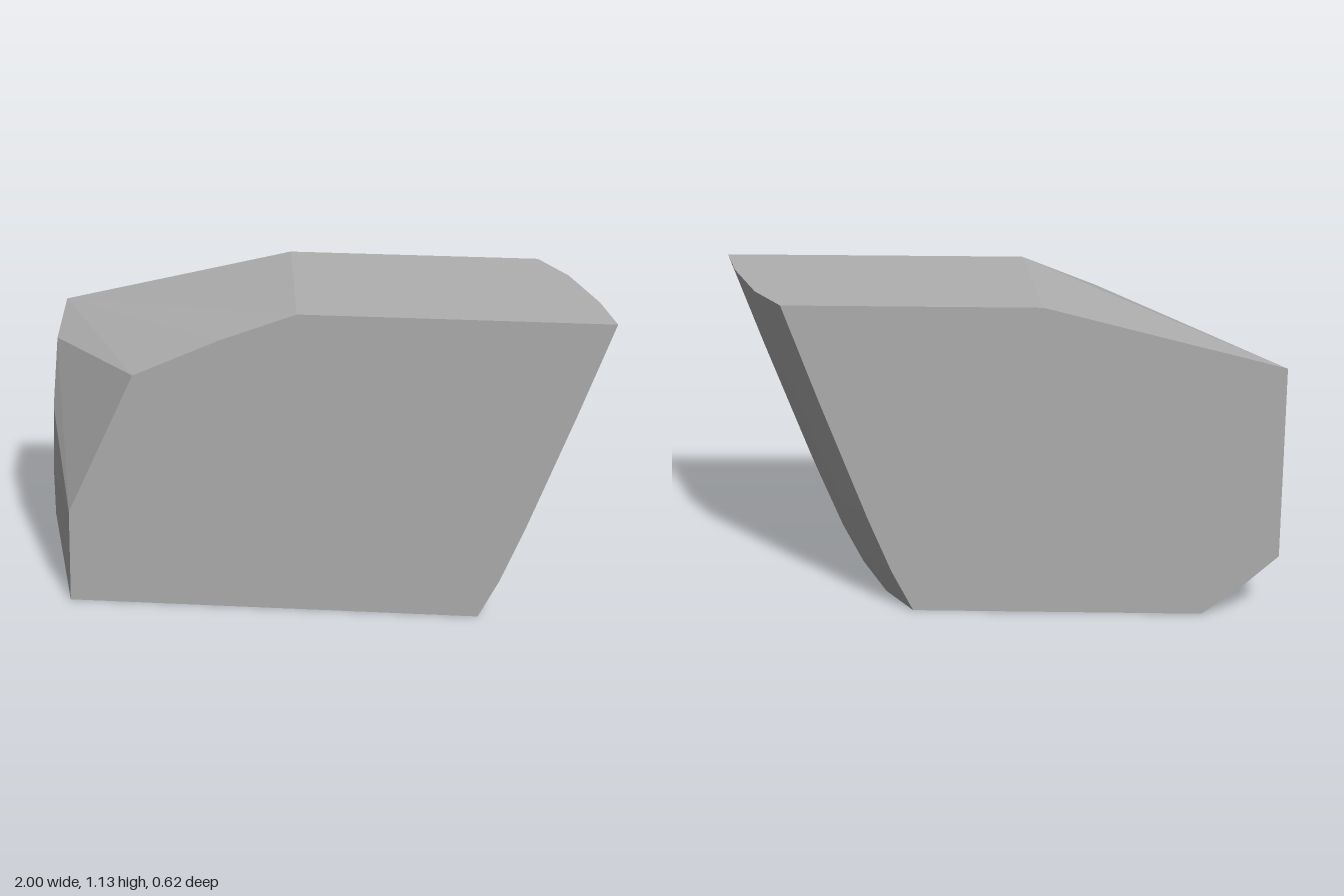
import * as THREE from 'three';
import { ConvexGeometry } from 'three/addons/geometries/ConvexGeometry.js';

export function createModel() {
  const model = new THREE.Group();
  const stone = new THREE.MeshStandardMaterial({ color: 0xb0b0b0 });
  const H = 1.135, F = 0.312, B = -0.312;
  const points = [];
  const add = (x, y, z) => points.push(new THREE.Vector3(x, y, z));

  // gently bulging right end: height profile plus a sweep back towards the rear
  const profile = [[0, 0.562], [0.15, 0.637], [0.35, 0.717], [0.8, 0.882], [H, 1]];
  const sweep = [[F, 0], [0.11, -0.055], [-0.15, -0.16], [B, -0.268]];
  for (const [y, x] of profile) for (const [z, dx] of sweep) add(x + dx, y, z);

  // front outline, chipped at the upper left
  for (const [x, y] of [[-0.91, 0], [-0.9, 0.355], [-0.652, 0.89], [-0.35, 1.03], [-0.08, H]]) add(x, y, F);

  // back outline
  for (const [x, y] of [[-0.735, 0], [-0.87, 0.105], [-1, 0.227], [-1, 0.925], [-0.165, H]]) add(x, y, B);

  // flat left end
  for (const [y, z] of [[0.85, -0.11], [0.63, 0.015], [0.395, 0.07], [0.227, 0.075]]) add(-1, y, z);

  const block = new THREE.Mesh(new ConvexGeometry(points), stone);
  block.name = 'stoneBlock';
  stone.name = 'stoneGrey';
  model.add(block);
  model.name = 'chippedStone';
  return model;
}
